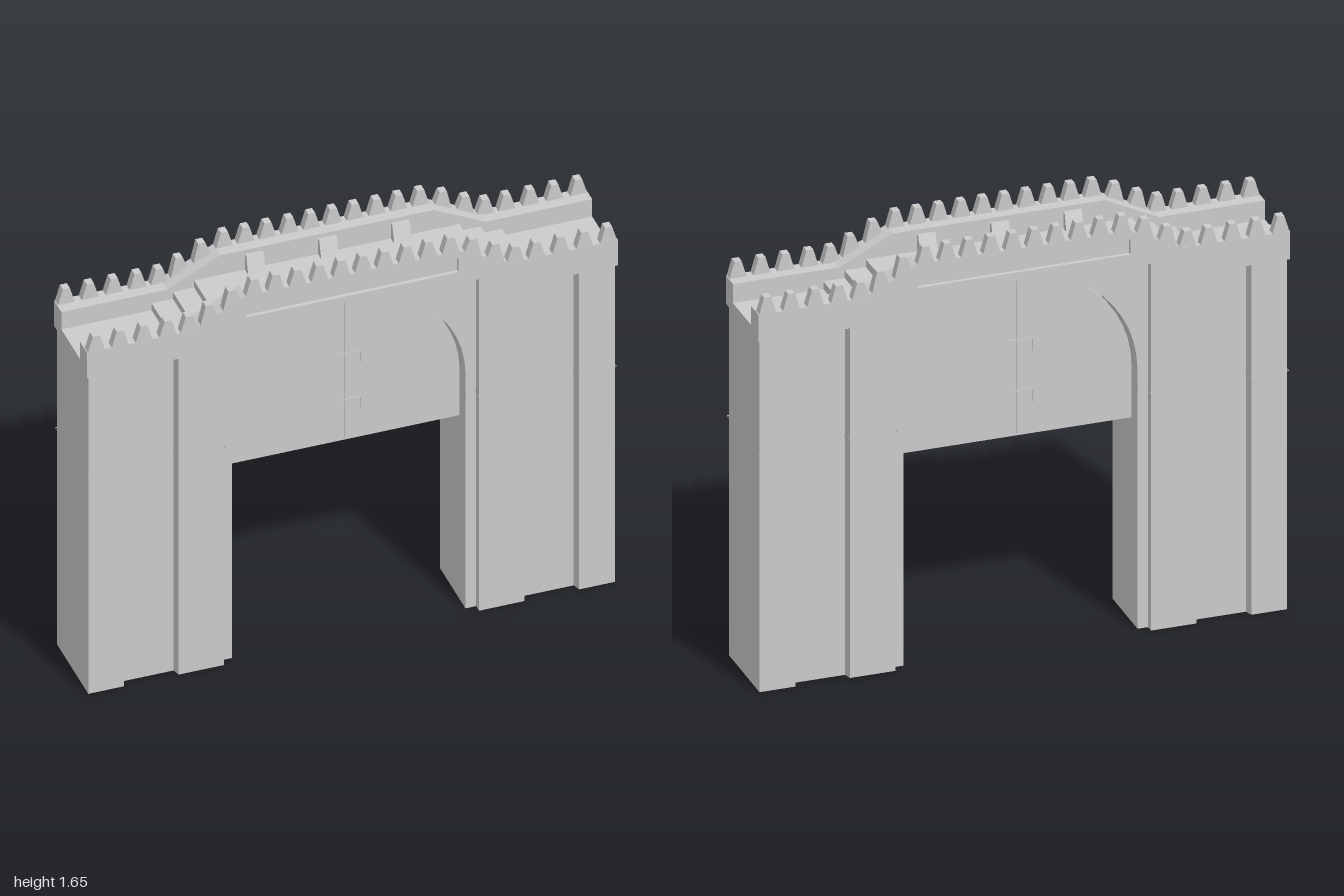
import * as THREE from 'three';

const mat = new THREE.MeshStandardMaterial({ color: 0xcccccc, flatShading: true });
const openMat = new THREE.MeshStandardMaterial({ color: 0xcccccc, flatShading: true, side: THREE.DoubleSide });

// lower edge of the parapet: flat, sloped, flat
const parapetBottom = (x) => 1.38 + 0.09 * THREE.MathUtils.clamp((0.66 - Math.abs(x)) / 0.25, 0, 1);
// foot of the merlons
const wallTop = (x) => 1.49 + 0.1 * THREE.MathUtils.clamp((0.6 - Math.abs(x)) / 0.2, 0, 1);

const toShape = (pts) => new THREE.Shape(pts.map(([x, y]) => new THREE.Vector2(x, y)));

// profile on the right half, mirrored to the left half
const mirrored = (half) => [...half, ...half.map(([x, y]) => [-x, y]).reverse()];

function add(parent, name, geometry, material = mat) {
  const mesh = new THREE.Mesh(geometry, material);
  mesh.name = name;
  parent.add(mesh);
  return mesh;
}

// extrudes a front-facing shape between two z values
function slab(parent, name, shape, z0, z1) {
  const geometry = new THREE.ExtrudeGeometry(shape, { depth: z1 - z0, bevelEnabled: false, curveSegments: 32 });
  return add(parent, name, geometry.translate(0, 0, z0));
}

// open wall around a plan outline; the top follows a height rule
function wallGeometry(outline, bottom, top) {
  const pos = [];
  outline.forEach(([x0, z0], i) => {
    const [x1, z1] = outline[(i + 1) % outline.length];
    const a = [x0, bottom, z0], b = [x1, bottom, z1], c = [x1, top(x1), z1], d = [x0, top(x0), z0];
    pos.push(...a, ...b, ...c, ...a, ...c, ...d);
  });
  const geometry = new THREE.BufferGeometry();
  geometry.setAttribute('position', new THREE.Float32BufferAttribute(pos, 3));
  geometry.computeVertexNormals();
  return geometry;
}

// hollow tower with pilasters front and back, plus a thin string course
function tower(side) {
  const group = new THREE.Group();
  group.name = side > 0 ? 'leftTower' : 'rightTower';
  const plan = (e) => {
    const front = [[0.44, 0.13 + e], [0.48 + -e, 0.13 + e], [0.48 - e, 0.16 + e], [0.652 + e, 0.16 + e],
      [0.66 + e, 0.13 + e], [0.848 - e, 0.13 + e], [0.857 - e, 0.16 + e], [0.992 + e, 0.16 + e]];
    const loop = [...front, ...front.map(([x, z]) => [x, -z]).reverse()];
    return side > 0 ? loop : loop.map(([x, z]) => [-x, z]).reverse();
  };
  add(group, 'towerWall', wallGeometry(plan(0), 0, (x) => parapetBottom(x) + 0.01), openMat);
  const course = toShape(plan(0.005).map(([x, z]) => [x, -z]));
  const band = new THREE.ExtrudeGeometry(course, { depth: 0.004, bevelEnabled: false });
  const hole = plan(-0.002).map(([x, z]) => new THREE.Vector2(x + side * 0.002, -z));
  course.holes.push(new THREE.Path(hole));
  band.dispose();
  const ring = wallGeometry(plan(0.005), 0.938, () => 0.942);
  add(group, 'stringCourse', ring, openMat);
  return group;
}

// arched outline: straight sides up to the springing, then half an ellipse
function archPoints(rx, ry, bottom, springing) {
  const pts = [[rx, bottom]];
  for (let i = 0; i <= 24; i++) {
    const a = (Math.PI * i) / 24;
    pts.push([rx * Math.cos(a), springing + ry * Math.sin(a)]);
  }
  pts.push([-rx, bottom]);
  return pts;
}

function gateway() {
  const group = new THREE.Group();
  group.name = 'gateway';
  // spandrel wall over the arch
  const curve = archPoints(0.44, 0.435, 1.015, 1.02).reverse();
  const outer = [[0.44, 1.48], [-0.44, 1.48]];
  slab(group, 'archWall', toShape([...outer, ...curve]), -0.13, 0.13);

  // front and back raised doors with interlocking seam
  for (const s of [1, -1]) {
    const leaf = new THREE.Group();
    leaf.name = s > 0 ? 'frontDoor' : 'backDoor';
    slab(leaf, 'doorPanel', toShape(archPoints(0.432, 0.425, 0.815, 1.02)), 0.05, 0.09);
    const bar = (name, w, h, x, y) =>
      add(leaf, name, new THREE.BoxGeometry(w, h, 0.006)).position.set(x, y, 0.09);
    bar('doorSeam', 0.004, 0.6, 0, 1.125);
    for (const y of [1.19, 0.99]) {
      bar('seamBar', 0.09, 0.004, 0.015, y);
      bar('seamTab', 0.004, 0.05, 0.06, y - 0.025);
    }
    if (s < 0) leaf.rotation.y = Math.PI;
    group.add(leaf);
  }
  return group;
}

function parapet() {
  const group = new THREE.Group();
  group.name = 'parapet';
  const lower = [[-1, 1.38], [-0.66, 1.38], [-0.41, 1.47], [0.41, 1.47], [0.66, 1.38], [1, 1.38]];

  // stepped walkway
  const steps = mirrored([[1, 1.415], [0.66, 1.415], [0.66, 1.445], [0.58, 1.445], [0.58, 1.475],
    [0.5, 1.475], [0.5, 1.505]]);
  slab(group, 'walkway', toShape([...lower, ...steps]), -0.096, 0.096);

  // merlons: pitch is tighter over the centre
  const centres = [0.041, 0.123, 0.206, 0.288, 0.37, 0.455, 0.54, 0.615, 0.695, 0.785, 0.875, 0.965];
  const upper = mirrored([[1, 1.49], [0.6, 1.49], [0.4, 1.59]]);

  for (const s of [1, -1]) {
    const wall = new THREE.Group();
    wall.name = s > 0 ? 'frontParapet' : 'backParapet';
    slab(wall, 'parapetWall', toShape([...lower, ...upper]), 0.095, 0.155);
    // face layer with a long sunk panel
    const face = toShape([...lower, ...upper]);
    face.holes.push(new THREE.Path(
      [[-0.4, 1.497], [-0.4, 1.557], [0.4, 1.557], [0.4, 1.497]].map(([x, y]) => new THREE.Vector2(x, y))));
    slab(wall, 'parapetFace', face, 0.155, 0.17);

    for (const c of mirrored(centres.map((x) => [x, 0])).map(([x]) => x)) {
      const y = wallTop(c);
      const l = c - 0.033, r = c + 0.033;
      slab(wall, 'merlon', toShape([[l, wallTop(l) - 0.004], [r, wallTop(r) - 0.004],
        [c + 0.013, y + 0.064], [c - 0.013, y + 0.064]]), 0.138, 0.17);
    }
    // sloped blocks against the inside of the wall
    for (const x of [-0.275, 0, 0.275]) {
      const wedge = new THREE.ExtrudeGeometry(
        toShape([[-0.1, 1.5], [-0.06, 1.5], [-0.082, 1.572], [-0.1, 1.572]]),
        { depth: 0.066, bevelEnabled: false });
      wedge.translate(0, 0, -0.033).rotateY(Math.PI / 2);
      add(wall, 'wedgeBlock', wedge).position.x = x;
    }
    if (s < 0) wall.rotation.y = Math.PI;
    group.add(wall);
  }
  return group;
}

export function createModel() {
  const model = new THREE.Group();
  model.name = 'fortifiedGate';
  model.add(tower(1), tower(-1), gateway(), parapet());
  return model;
}
